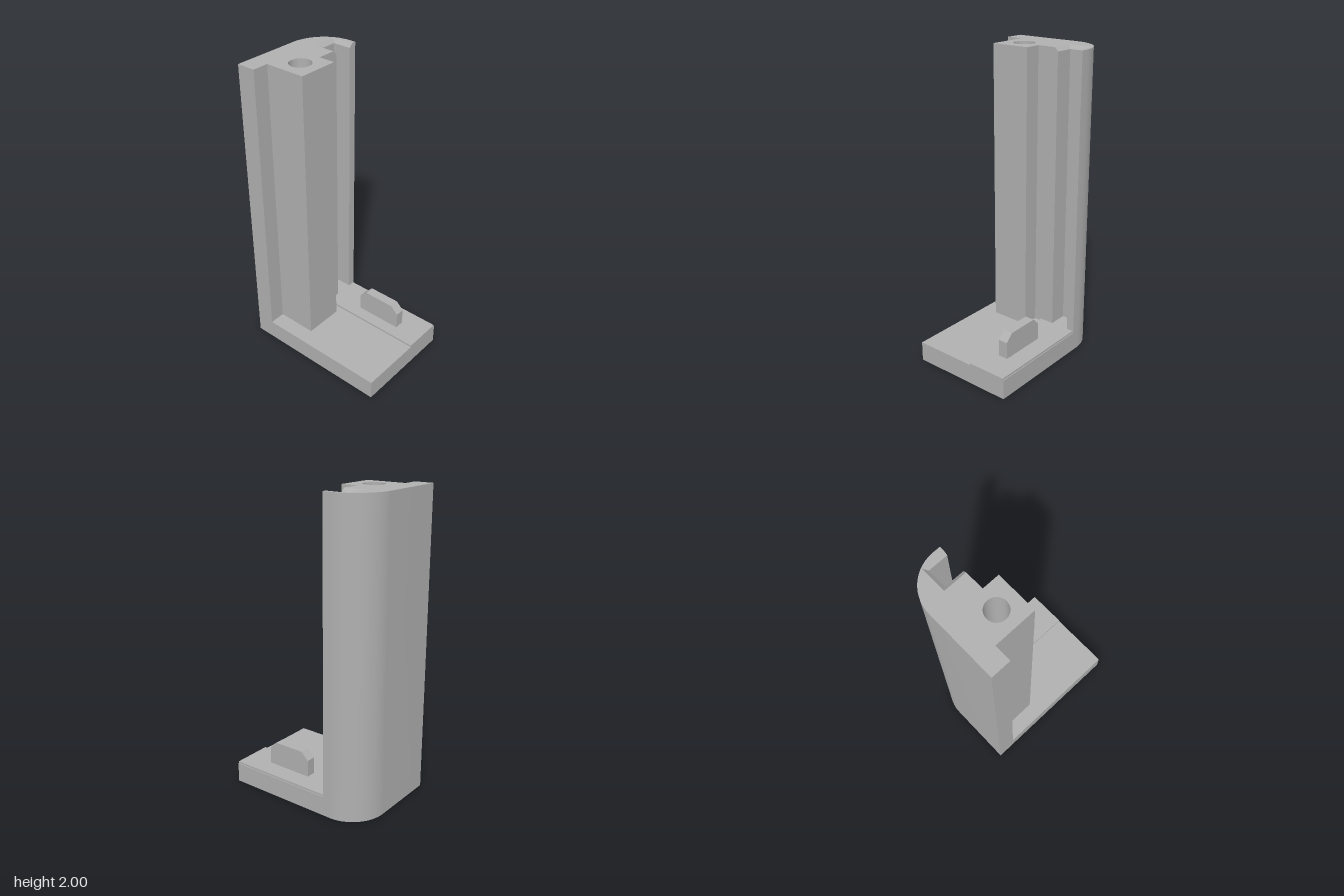
import * as THREE from 'three';
import { toCreasedNormals } from 'three/addons/utils/BufferGeometryUtils.js';

const BACK = -0.347, FRONT = 0.347, LEFT = -0.505, RIGHT = 0.505;
const RADIUS = 0.24, BASE_TOP = 0.13, PLATE_TOP = 0.143, TOP = 2, CHAMFER = 0.024;

// Closed plan outline from [x, z] points, ending on the rounded back corner
function plan(points) {
  const shape = new THREE.Shape();
  points.forEach(([x, z], i) => (i ? shape.lineTo(x, -z) : shape.moveTo(x, -z)));
  shape.lineTo(LEFT + RADIUS, -BACK);
  shape.absarc(LEFT + RADIUS, -BACK - RADIUS, RADIUS, Math.PI / 2, Math.PI, false);
  return shape;
}

// Extrude a plan upwards from y0 to y1
function rise(shape, y0, y1) {
  const g = new THREE.ExtrudeGeometry(shape, { depth: y1 - y0, bevelEnabled: false, curveSegments: 24 });
  return g.rotateX(-Math.PI / 2).translate(0, y0, 0);
}

// Column plan with the cable slot widened by w, and the round bore
function columnPlan(w) {
  const shape = plan([
    [LEFT, FRONT], [-0.38, FRONT], [-0.38, 0.24], [-0.11, 0.24], [-0.11, -0.025], [-0.22, -0.025],
    [-0.22, -0.172 + w], [-0.345 - w, -0.172 + w], [-0.345 - w, -0.295 - w], [-0.22, -0.295 - w],
    [-0.22, BACK],
  ]);
  const bore = new THREE.Path();
  bore.absarc(-0.248, -0.107, 0.069, 0, Math.PI * 2, true);
  shape.holes.push(bore);
  return shape;
}

export function createModel() {
  const group = new THREE.Group();
  const grey = new THREE.MeshStandardMaterial({ color: 0xb0b0b0 });
  grey.name = 'grey';

  const add = (name, geometry) => {
    const mesh = new THREE.Mesh(toCreasedNormals(geometry, 0.5), grey);
    mesh.name = name;
    group.add(mesh);
  };
  const slab = (name, x0, x1, y0, y1, z0, z1) => add(name,
    new THREE.BoxGeometry(x1 - x0, y1 - y0, z1 - z0).translate((x0 + x1) / 2, (y0 + y1) / 2, (z0 + z1) / 2));

  // Foot with one rounded back corner
  add('base', rise(plan([[LEFT, FRONT], [RIGHT, FRONT], [RIGHT, BACK]]), 0, BASE_TOP));

  // Raised strip, continued into the slot as its floor
  slab('raisedPlate', -0.22, RIGHT, 0.1, PLATE_TOP, -0.342, -0.076);
  slab('slotFloor', -0.35, -0.22, 0.1, PLATE_TOP, -0.3, -0.167);

  // Upright column
  add('column', rise(columnPlan(0), BASE_TOP, TOP - CHAMFER));

  // Column top: the wide slot mouth narrows to the slot below
  const cap = rise(columnPlan(CHAMFER), TOP - CHAMFER, TOP);
  const p = cap.attributes.position;
  const near = (a, b) => Math.abs(a - b) < 1e-4;
  for (let i = 0; i < p.count; i++) {
    if (p.getY(i) > TOP - CHAMFER / 2) continue;
    const x = p.getX(i), z = p.getZ(i);
    const inMouth = near(x, -0.22) || near(x, -0.345 - CHAMFER);
    if (inMouth && near(z, -0.172 + CHAMFER)) p.setZ(i, -0.172);
    else if (inMouth && near(z, -0.295 - CHAMFER)) p.setZ(i, -0.295);
    else continue;
    if (near(x, -0.345 - CHAMFER)) p.setX(i, -0.345);
  }
  add('columnTop', cap);

  // Upright locating tab with clipped top corners
  const tab = new THREE.Shape([
    [0.003, 0.12], [0.321, 0.12], [0.321, 0.255], [0.271, 0.305], [0.053, 0.305], [0.003, 0.255],
  ].map(([x, y]) => new THREE.Vector2(x, y)));
  add('tab', new THREE.ExtrudeGeometry(tab, { depth: 0.065, bevelEnabled: false }).translate(0, 0, -0.222));

  return group;
}
